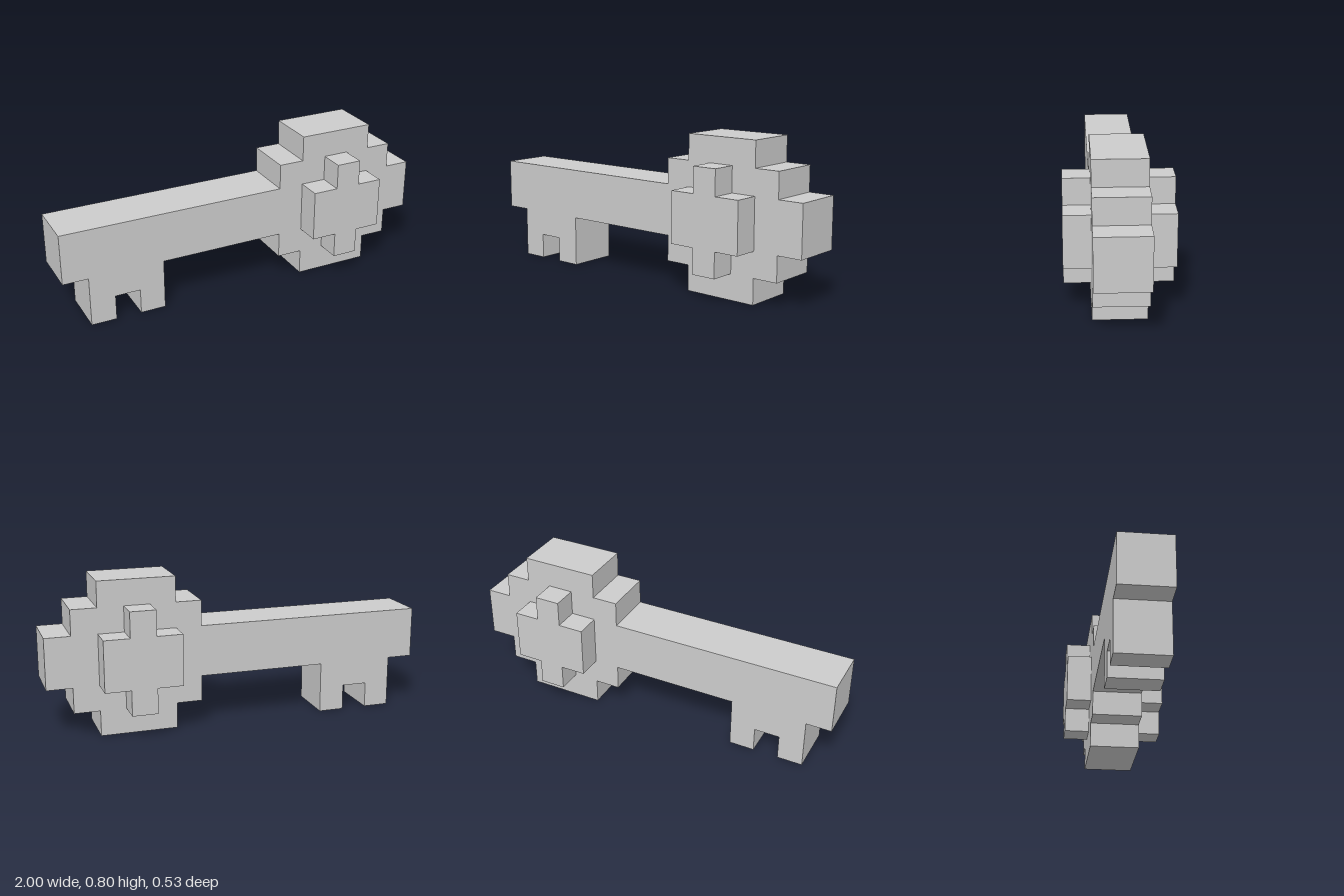
import * as THREE from 'three';

const U = 2 / 15; // one block of the grid the key is drawn on

// Extrudes a stepped outline given in blocks (x from the left end, y from the ground)
function slab(name, outline, z0, z1, material) {
  const shape = new THREE.Shape(outline.map(([x, y]) => new THREE.Vector2(x * U - 1, y * U)));
  const geometry = new THREE.ExtrudeGeometry(shape, { depth: (z1 - z0) * U, bevelEnabled: false });
  geometry.translate(0, 0, z0 * U);
  const mesh = new THREE.Mesh(geometry, material);
  mesh.name = name;
  return mesh;
}

export function createModel() {
  const key = new THREE.Group();
  key.name = 'key';
  const material = new THREE.MeshStandardMaterial({ color: 0xcccccc, flatShading: true });

  // Shaft, teeth and stepped round bow share one continuous outline
  const body = [
    [0, 2], [1, 2], [1, 0], [2, 0], [2, 1], [3, 1], [3, 0], [4, 0], [4, 2], // teeth
    [9, 2], [9, 1], [10, 1], [10, 0], [13, 0], [13, 1], [14, 1], [14, 2], [15, 2], // bow, lower
    [15, 4], [14, 4], [14, 5], [13, 5], [13, 6], [10, 6], [10, 5], [9, 5], [9, 4], // bow, upper
    [0, 4],
  ];
  key.add(slab('keyBody', body, -1, 1, material));

  // Raised cross on both faces of the bow
  const cross = [
    [10, 2], [11, 2], [11, 1], [12, 1], [12, 2], [13, 2],
    [13, 4], [12, 4], [12, 5], [11, 5], [11, 4], [10, 4],
  ];
  key.add(slab('frontGem', cross, 1, 2, material));
  key.add(slab('backGem', cross, -2, -1, material));

  return key;
}
